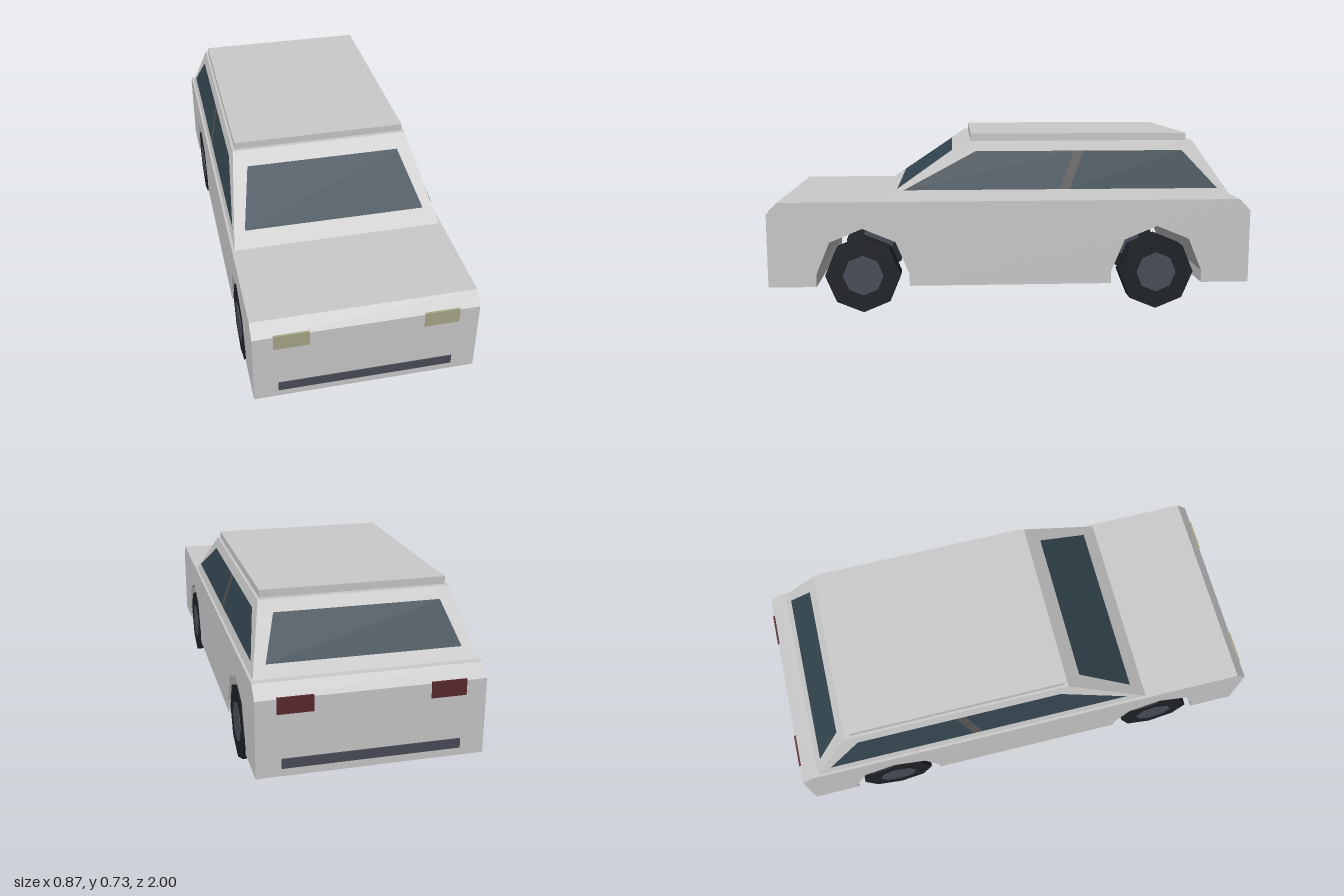
import * as THREE from 'three';

const mat = (color, side = THREE.FrontSide) =>
  new THREE.MeshStandardMaterial({ color, flatShading: true, side });
const paint = mat(0xcccccc);
const glass = mat(0x33444f, THREE.DoubleSide);
const pillarMat = mat(0x555252, THREE.DoubleSide);
const rubber = mat(0x1e2226);
const metal = mat(0x4a4d58);
const headMat = mat(0xaaa888);
const tailMat = mat(0x5a2a2e);

// Cabin frustum: half width, front z and back z at its base and top
const BASE = { y: 0.46, x: 0.425, front: 0.53, back: -0.92 };
const TOP = { y: 0.7, x: 0.37, front: 0.18, back: -0.755 };
const at = (key, y) =>
  THREE.MathUtils.lerp(BASE[key], TOP[key], (y - BASE.y) / (TOP.y - BASE.y));

function add(parent, name, geometry, material, x = 0, y = 0, z = 0) {
  const mesh = new THREE.Mesh(geometry, material);
  mesh.name = name;
  mesh.position.set(x, y, z);
  parent.add(mesh);
  return mesh;
}

// Flat four-cornered panel
function quad(a, b, c, d) {
  const g = new THREE.BufferGeometry();
  g.setAttribute('position', new THREE.Float32BufferAttribute([...a, ...b, ...c, ...a, ...c, ...d], 3));
  g.computeVertexNormals();
  return g;
}

// Side profile with wheel arches, extruded across the width
function bodyGeometry() {
  const pts = [[-0.995, 0.11]];
  for (const cz of [-0.605, 0.61]) {
    pts.push([cz - 0.19, 0.11]);
    for (let i = 0; i <= 4; i++) {
      const a = Math.PI - (i * Math.PI) / 4;
      pts.push([cz + 0.19 * Math.cos(a), 0.16 + 0.19 * Math.sin(a)]);
    }
    pts.push([cz + 0.19, 0.11]);
  }
  pts.push([0.995, 0.11], [0.995, 0.412], [0.95, 0.46], [-0.95, 0.46], [-0.995, 0.412]);
  const shape = new THREE.Shape(pts.map(([z, y]) => new THREE.Vector2(z, y)));
  const g = new THREE.ExtrudeGeometry(shape, { depth: 0.87, bevelEnabled: false });
  return g.rotateY(-Math.PI / 2).translate(0.435, 0, 0);
}

// Unit box whose corners are moved onto the cabin frustum
function cabinGeometry() {
  const g = new THREE.BoxGeometry(1, 1, 1);
  const p = g.attributes.position;
  for (let i = 0; i < p.count; i++) {
    const s = p.getY(i) > 0 ? TOP : BASE;
    p.setXYZ(i, Math.sign(p.getX(i)) * s.x, s.y, p.getZ(i) > 0 ? s.front : s.back);
  }
  g.computeVertexNormals();
  return g;
}

export function createModel() {
  const car = new THREE.Group();
  car.name = 'car';

  add(car, 'body', bodyGeometry(), paint);
  add(car, 'cabin', cabinGeometry(), paint);
  add(car, 'roofPanel', new THREE.BoxGeometry(0.72, 0.03, 0.895), paint, 0, 0.715, -0.283);

  // Windscreen and rear window
  const y0 = 0.505, y1 = 0.66, lift = 0.004;
  for (const [name, key, s] of [['windscreen', 'front', 1], ['rearWindow', 'back', -1]]) {
    const zb = at(key, y0) + s * lift, zt = at(key, y1) + s * lift;
    add(car, name, quad([-0.372 * s, y0, zb], [0.372 * s, y0, zb],
      [0.32 * s, y1, zt], [-0.32 * s, y1, zt]), glass);
  }

  // Side windows with a slanted pillar between them
  for (const s of [1, -1]) {
    const side = s > 0 ? 'left' : 'right';
    const panel = (name, material, bf, bb, tf, tb) => {
      const xb = s * (at('x', y0) + lift), xt = s * (at('x', y1) + lift);
      const c = [[xb, y0, bf], [xb, y0, bb], [xt, y1, tb], [xt, y1, tf]];
      add(car, side + name, quad(...(s > 0 ? c : c.reverse())), material);
    };
    panel('FrontWindow', glass, 0.44, -0.2, 0.145, -0.26);
    panel('Pillar', pillarMat, -0.2, -0.24, -0.26, -0.3);
    panel('BackWindow', glass, -0.24, -0.855, -0.3, -0.71);
  }

  // Bumper bars and lamps at both ends
  for (const [end, s, lampMat] of [['front', 1, headMat], ['rear', -1, tailMat]]) {
    add(car, end + 'Bumper', new THREE.BoxGeometry(0.68, 0.038, 0.02), metal, 0, 0.161, s * 0.99);
    for (const x of [-0.288, 0.288])
      add(car, end + 'Lamp', new THREE.BoxGeometry(0.136, 0.063, 0.02), lampMat, x, 0.386, s * 0.988);
  }

  // Eight-sided wheels with hubs
  const tyre = new THREE.CylinderGeometry(0.155, 0.155, 0.087, 8).rotateZ(Math.PI / 2);
  const hub = new THREE.CylinderGeometry(0.083, 0.083, 0.09, 8).rotateZ(Math.PI / 2);
  for (const z of [0.61, -0.605]) {
    for (const s of [1, -1]) {
      const wheel = new THREE.Group();
      wheel.name = (z > 0 ? 'front' : 'rear') + (s > 0 ? 'Left' : 'Right') + 'Wheel';
      wheel.position.set(s * 0.389, 0.155, z);
      add(wheel, 'tyre', tyre, rubber);
      add(wheel, 'hub', hub, metal, s * 0.001);
      car.add(wheel);
    }
  }
  return car;
}
